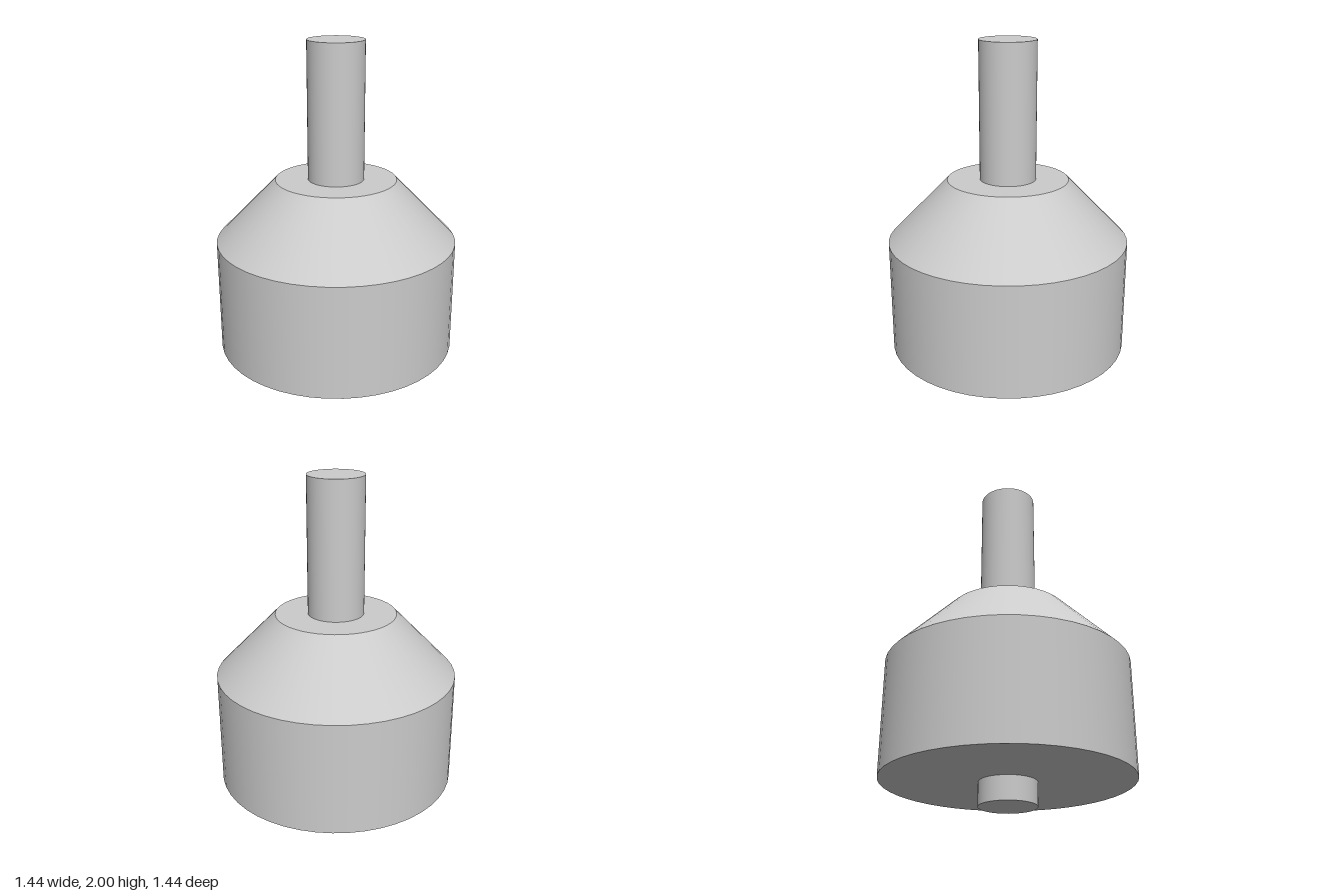
import * as THREE from 'three';

const SEGMENTS = 48;

export function createModel() {
  const group = new THREE.Group();
  const material = new THREE.MeshStandardMaterial({ color: 0xcccccc });

  // Upright round part between two heights; cylinders keep crisp rims and smooth sides
  const addRound = (name, rTop, rBottom, y0, y1, openEnded = false) => {
    const geometry = new THREE.CylinderGeometry(rTop, rBottom, y1 - y0, SEGMENTS, 1, openEnded);
    const mesh = new THREE.Mesh(geometry, material);
    mesh.name = name;
    mesh.position.y = (y0 + y1) / 2;
    group.add(mesh);
  };

  // Central rod running through the whole body
  addRound('shaft', 0.167, 0.167, 0, 2);
  // Wide drum
  addRound('drum', 0.72, 0.72, 0.137, 0.815);
  // Tapered shoulder on top of the drum
  addRound('shoulder', 0.36, 0.72, 0.815, 1.185);

  return group;
}
